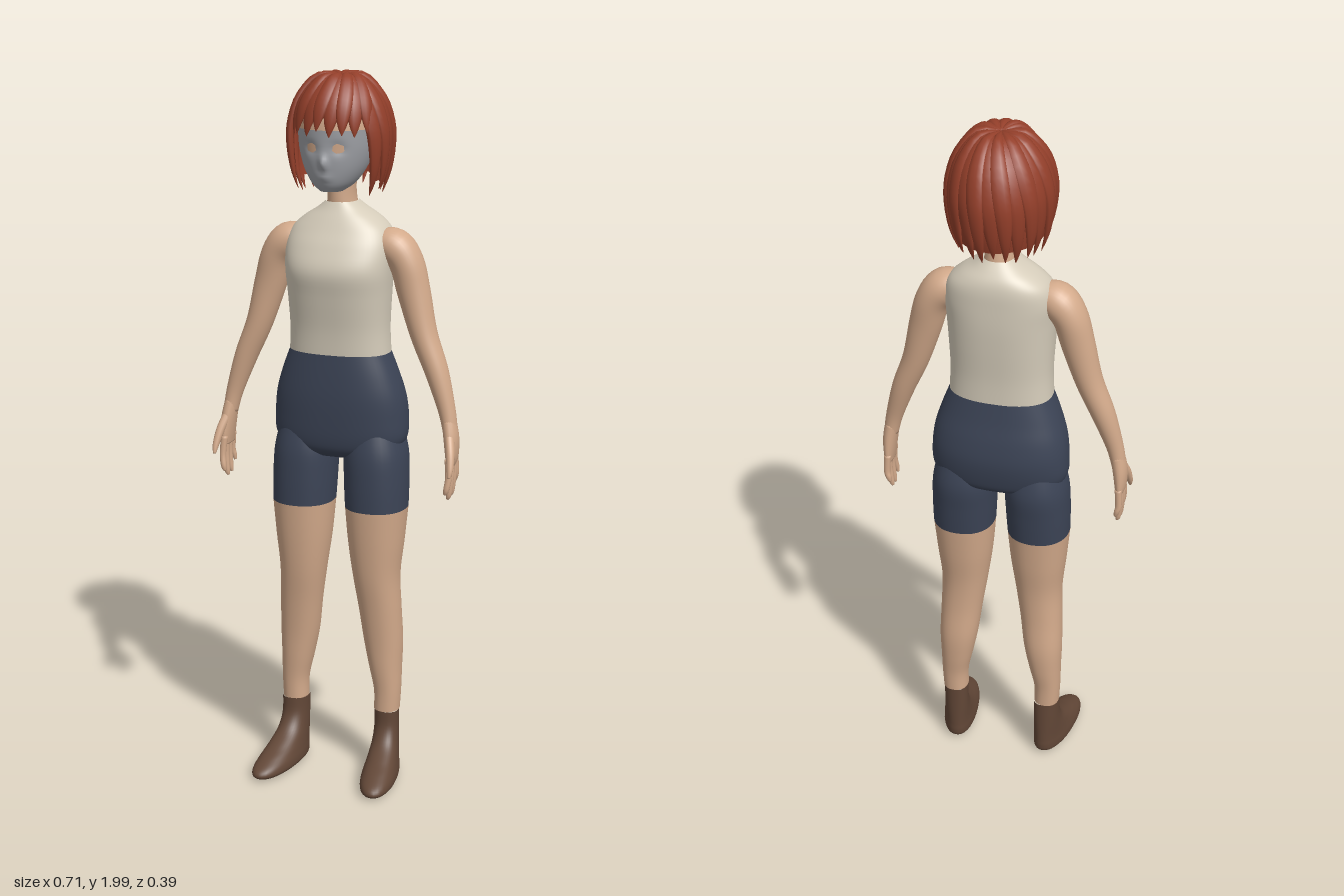
import * as THREE from 'three';

const V = (x, y, z) => new THREE.Vector3(x, y, z);
const mat = (name, color, side = THREE.FrontSide) => {
  const m = new THREE.MeshStandardMaterial({ color, side });
  m.name = name;
  return m;
};

// Surface through rings of points; optional fans close either end
function skin(rings, { closed = true, capStart = false, capEnd = false } = {}) {
  const n = rings[0].length, pos = [], idx = [];
  rings.forEach(r => r.forEach(p => pos.push(p.x, p.y, p.z)));
  for (let i = 0; i < rings.length - 1; i++)
    for (let j = 0; j < (closed ? n : n - 1); j++) {
      const a = i * n + j, b = i * n + (j + 1) % n;
      idx.push(a, b, a + n, b, b + n, a + n);
    }
  const cap = (i, flip) => {
    const c = rings[i].reduce((s, p) => s.add(p), V(0, 0, 0)).divideScalar(n);
    const k = pos.length / 3;
    pos.push(c.x, c.y, c.z);
    for (let j = 0; j < n; j++) {
      const a = i * n + j, b = i * n + (j + 1) % n;
      idx.push(...(flip ? [k, b, a] : [k, a, b]));
    }
  };
  if (capStart) cap(0, true);
  if (capEnd) cap(rings.length - 1, false);
  const g = new THREE.BufferGeometry();
  g.setAttribute('position', new THREE.Float32BufferAttribute(pos, 3));
  g.setIndex(idx);
  g.computeVertexNormals();
  return g;
}

// Smooth in-between sections (Catmull-Rom on every component)
function refine(s, k = 5) {
  const out = [], at = i => s[Math.max(0, Math.min(s.length - 1, i))];
  for (let i = 0; i < s.length - 1; i++)
    for (let q = 0; q < k; q++) {
      const t = q / k;
      out.push(s[i].map((b, c) => {
        const a = at(i - 1)[c], d = at(i + 1)[c], e = at(i + 2)[c];
        return b + 0.5 * t * (d - a + t * (2 * a - 5 * b + 4 * d - e + t * (3 * (b - d) + e - a)));
      }));
    }
  out.push(s[s.length - 1]);
  return out;
}

// Ring in the plane of u and v; power above 2 makes it squarer
function ring(c, u, v, ru, rv, { n = 36, power = 2, from = 0, len = Math.PI * 2, closed = true } = {}) {
  const f = w => Math.sign(w) * Math.abs(w) ** (2 / power);
  return Array.from({ length: n }, (_, j) => {
    const a = from + len * j / (closed ? n : n - 1);
    return c.clone().addScaledVector(u, ru * f(Math.cos(a))).addScaledVector(v, rv * f(Math.sin(a)));
  });
}

// Level sections, bottom to top: [y, centre x, half width, back z, front z]
const stack = (sections, o = {}) => skin(refine(sections).map(([y, x, rx, zb, zf]) =>
  ring(V(x, y, (zb + zf) / 2), V(1, 0, 0), V(0, 0, -1), rx, (zf - zb) / 2, o)), o);

// Sections square to a path: [x, y, z, half thickness, half width along z]
function limb(sections, o = {}) {
  const s = refine(sections), p = s.map(q => V(q[0], q[1], q[2]));
  return skin(s.map((q, i) => {
    const t = p[Math.min(i + 1, p.length - 1)].clone().sub(p[Math.max(i - 1, 0)]).normalize();
    const u = V(0, 0, 1).addScaledVector(t, -t.z).normalize();
    return ring(p[i], u, t.clone().cross(u), q[4], q[3], o);
  }), { capStart: true, capEnd: true });
}

function mirrored(g) {
  const m = g.clone().scale(-1, 1, 1), a = m.index.array;
  for (let i = 0; i < a.length; i += 3) [a[i], a[i + 1]] = [a[i + 1], a[i]];
  return m;
}

// Hair shell: angle 0 is the front, s runs from crown (0) to tips (1)
const profile = new THREE.SplineCurve([[0.02, 1.978], [0.45, 1.976], [0.8, 1.925], [0.97, 1.86],
  [1, 1.8], [0.94, 1.73], [0.8, 1.67]].map(p => new THREE.Vector2(...p)));
function shell(angle, s, k = 1) {
  const p = profile.getPoint(Math.min(1, Math.max(0, s))), c = Math.cos(angle);
  return V(0.128 * k * p.x * Math.sin(angle), p.y, -0.028 + k * p.x * c * (c > 0 ? 0.135 : 0.155));
}

function lock(angle, end, swirl, width, lift) {
  const K = 18, rings = [];
  const at = (t, da = 0) => shell(angle + da - swirl * (1 - t) ** 2, t * end);
  for (let i = 0; i <= K; i++) {
    const t = i / K, p = at(t);
    const T = at(Math.min(1, t + 0.02)).sub(at(Math.max(0, t - 0.02))).normalize();
    const B = at(t, 0.02).sub(at(t, -0.02));
    B.addScaledVector(T, -B.dot(T)).normalize();
    const N = T.clone().cross(B);
    const r = profile.getPoint(t * end).x, taper = 1 - t ** 4 * 0.97;
    p.addScaledVector(N, lift * Math.min(1, r * 2));
    rings.push(ring(p, B, N, (0.004 + width * Math.min(1, r * 1.1)) * taper, (0.006 + 0.008 * r) * taper, { n: 10 }));
  }
  return skin(rings, { capStart: true, capEnd: true });
}

export function createModel() {
  const model = new THREE.Group();
  const skinTone = mat('skin', 0xd3aa8b), cream = mat('cream cloth', 0xd6cdbb);
  const navy = mat('navy cloth', 0x3c4456), brown = mat('brown sock', 0x624737);
  const red = mat('red hair', 0x943f2a, THREE.DoubleSide), grey = mat('grey face', 0x9d9fa4, THREE.DoubleSide);
  const add = (name, g, m, parent = model) => {
    const mesh = new THREE.Mesh(g, m);
    mesh.name = name;
    parent.add(mesh);
  };
  const pair = (name, g, m) => {
    add('left' + name, g, m);
    add('right' + name, mirrored(g), m);
  };

  // Torso and hips
  add('top', stack([[1.24, 0, 0.142, -0.12, 0.064], [1.31, 0, 0.139, -0.122, 0.07], [1.4, 0, 0.143, -0.13, 0.085],
    [1.47, 0, 0.148, -0.135, 0.095], [1.53, 0, 0.15, -0.136, 0.074], [1.575, 0, 0.137, -0.135, 0.05],
    [1.605, 0, 0.107, -0.128, 0.034], [1.63, 0, 0.068, -0.112, 0.02], [1.65, 0, 0.042, -0.094, 0.01]],
    { power: 2.4, n: 56 }), cream);
  add('shortsHips', stack([[0.945, 0, 0.1, -0.09, 0.03], [0.965, 0, 0.16, -0.124, 0.053], [1, 0, 0.188, -0.138, 0.063],
    [1.06, 0, 0.19, -0.147, 0.068], [1.12, 0, 0.183, -0.142, 0.07], [1.18, 0, 0.165, -0.13, 0.068],
    [1.24, 0, 0.142, -0.12, 0.064]], { power: 2.4, n: 56, capStart: true }), navy);
  pair('ShortsLeg', stack([[0.8, 0.108, 0.087, -0.12, 0.064], [0.88, 0.106, 0.089, -0.129, 0.065],
    [0.96, 0.103, 0.087, -0.136, 0.062], [1.04, 0.1, 0.07, -0.12, 0.045]], { power: 2.2 }), navy);

  // Legs and socks
  pair('Leg', stack([[0.19, 0.14, 0.036, -0.076, 0.004], [0.25, 0.141, 0.038, -0.08, 0.006],
    [0.32, 0.134, 0.046, -0.09, 0.012], [0.4, 0.127, 0.055, -0.096, 0.018], [0.5, 0.119, 0.06, -0.091, 0.03],
    [0.6, 0.11, 0.066, -0.094, 0.045], [0.7, 0.108, 0.078, -0.108, 0.056], [0.8, 0.108, 0.087, -0.12, 0.064]],
    { power: 2.2 }), skinTone);
  const sock = stack([[0, 0.14, 0.034, -0.055, 0.165], [0.012, 0.14, 0.049, -0.072, 0.19], [0.03, 0.14, 0.05, -0.076, 0.182],
    [0.05, 0.14, 0.046, -0.076, 0.14], [0.07, 0.14, 0.042, -0.076, 0.09], [0.1, 0.14, 0.038, -0.076, 0.035],
    [0.14, 0.14, 0.036, -0.076, 0.008], [0.19, 0.14, 0.036, -0.076, 0.004]], { power: 2.2, capStart: true });
  const sp = sock.attributes.position;
  for (let i = 0; i < sp.count; i++) sp.setX(i, sp.getX(i) + 0.13 * (sp.getZ(i) + 0.036)); // toes point outward
  sock.computeVertexNormals();
  pair('Sock', sock, brown);

  // Arms, palms, fingers and thumbs
  pair('Arm', limb([[0.1, 1.54, -0.035, 0.035, 0.04], [0.15, 1.533, -0.035, 0.05, 0.054], [0.186, 1.49, -0.036, 0.047, 0.053],
    [0.209, 1.41, -0.034, 0.045, 0.046], [0.24, 1.3, -0.028, 0.037, 0.041], [0.28, 1.2, -0.022, 0.032, 0.036],
    [0.312, 1.1, -0.014, 0.024, 0.026], [0.325, 1.04, -0.01, 0.02, 0.026]]), skinTone);
  pair('Palm', limb([[0.32, 1.07, -0.012, 0.02, 0.025], [0.329, 1.02, -0.008, 0.02, 0.034],
    [0.332, 0.97, -0.006, 0.015, 0.038], [0.33, 0.945, -0.006, 0.009, 0.034]], { n: 20 }), skinTone);
  [[0.025, 0.036, 0.872], [0.005, 0.011, 0.853], [-0.016, -0.014, 0.857], [-0.035, -0.039, 0.885]].forEach(([z0, z1, tip], i) =>
    pair('Finger' + (i + 1), limb([[0.331, 0.97, z0, 0.01, 0.009], [0.334, 0.92, (z0 + z1) / 2, 0.009, 0.0085],
      [0.33, tip + 0.015, z1, 0.008, 0.0075], [0.326, tip, z1, 0.004, 0.004]], { n: 10 }), skinTone));
  pair('Thumb', limb([[0.328, 1.03, 0.008, 0.013, 0.015], [0.339, 0.99, 0.034, 0.012, 0.013],
    [0.345, 0.95, 0.054, 0.009, 0.009], [0.345, 0.928, 0.064, 0.004, 0.004]], { n: 12 }), skinTone);

  // Neck and head
  add('neck', stack([[1.6, 0, 0.05, -0.1, 0.006], [1.65, 0, 0.04, -0.092, 0.008], [1.69, 0, 0.038, -0.086, 0.008],
    [1.74, 0, 0.042, -0.09, 0.01]]), skinTone);
  const jaw = [[1.688, 0, 0.028, 0.005, 0.074], [1.71, 0, 0.057, -0.05, 0.089], [1.75, 0, 0.083, -0.09, 0.097],
    [1.8, 0, 0.1, -0.12, 0.1], [1.852, 0, 0.105, -0.13, 0.101]];
  add('head', stack([...jaw, [1.91, 0, 0.097, -0.12, 0.088], [1.955, 0, 0.06, -0.08, 0.05]],
    { capStart: true, capEnd: true }), skinTone);
  const face = stack(jaw.map(([y, x, rx, zb, zf]) => [y - 0.002, x, rx + 0.003, zb - 0.003, zf + 0.003]),
    { from: Math.PI * 0.99, len: Math.PI * 1.02, closed: false, n: 64 });
  // Nose, eye sockets and lips
  const fp = face.attributes.position;
  const bump = (x, y, cx, cy, sx, sy) => Math.exp(-(((x - cx) / sx) ** 2) - ((y - cy) / sy) ** 2);
  for (let i = 0; i < fp.count; i++) {
    const x = fp.getX(i), y = fp.getY(i), z = fp.getZ(i);
    if (z > 0.02) fp.setZ(i, z + 0.014 * bump(x, y, 0, 1.765, 0.012, 0.018)
      - 0.007 * bump(Math.abs(x), y, 0.038, 1.802, 0.02, 0.014) + 0.005 * bump(x, y, 0, 1.726, 0.02, 0.008));
  }
  face.computeVertexNormals();
  add('face', face, grey);

  // Hair: an inner cap covered by overlapping locks from the crown
  const hair = new THREE.Group();
  hair.name = 'hair';
  model.add(hair);
  const capEndAt = a => 0.46 + 0.42 * THREE.MathUtils.smoothstep(Math.abs(a), 0.95, 1.25);
  add('hairCap', skin(Array.from({ length: 17 }, (_, i) => Array.from({ length: 64 }, (_, j) => {
    const a = Math.PI - j * Math.PI / 32;
    return shell(a, capEndAt(a) * i / 16, 0.98);
  }))), red, hair);
  let seed = 7;
  const rand = () => (seed = (seed * 16807) % 2147483647) / 2147483647;
  const N = 24;
  for (let i = 0; i < N; i++) {
    const a = (i + 0.5) / N * Math.PI * 2 - Math.PI, front = Math.abs(a) < 1.02;
    const end = front ? 0.53 + 0.05 * rand() : 0.92 + 0.08 * rand();
    add(front ? 'fringeLock' : 'hairLock', lock(a, end, front ? -0.5 : 0.35, 0.022 + 0.004 * rand(), 0.001 + 0.005 * (i % 2)), red, hair);
  }
  return model;
}
